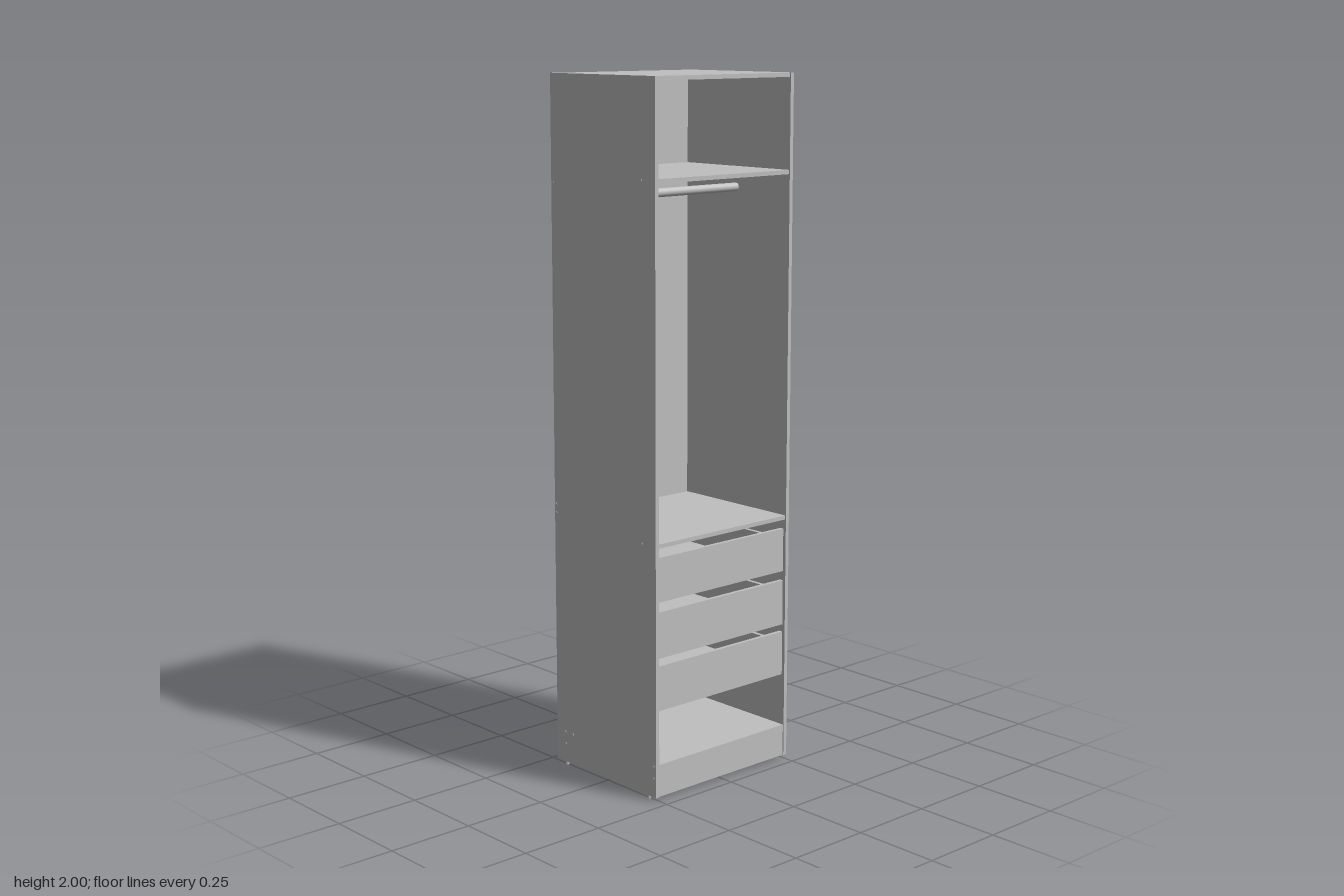
import * as THREE from 'three';

export function createModel() {
  const group = new THREE.Group();
  group.name = 'wardrobe';
  const grey = new THREE.MeshStandardMaterial({ color: 0xbfbfbf });
  grey.name = 'board grey';

  // Box given by its min and max on each axis
  const box = (name, [x0, x1], [y0, y1], [z0, z1], parent = group) => {
    const m = new THREE.Mesh(new THREE.BoxGeometry(x1 - x0, y1 - y0, z1 - z0), grey);
    m.position.set((x0 + x1) / 2, (y0 + y1) / 2, (z0 + z1) / 2);
    m.name = name;
    parent.add(m);
    return m;
  };
  // Cylinder lying along the x, y or z axis
  const rod = (name, axis, r, length, x, y, z, sides = 12) => {
    const g = new THREE.CylinderGeometry(r, r, length, sides);
    if (axis === 'x') g.rotateZ(Math.PI / 2);
    if (axis === 'z') g.rotateX(Math.PI / 2);
    const m = new THREE.Mesh(g, grey);
    m.position.set(x, y, z);
    m.name = name;
    group.add(m);
  };

  const IN = 0.247, OUT = 0.259, BACK = -0.203;
  const wide = [-IN, IN], deep = [BACK, 0.213];

  // Side panels, feet, side screw caps and back panel clips
  for (const s of [-1, 1]) {
    box('sidePanel', s > 0 ? [IN, OUT] : [-OUT, -IN], [0.01, 2], [-0.216, 0.216]);
    for (const z of [-0.18, 0.18]) rod('foot', 'y', 0.006, 0.012, s * 0.253, 0.006, z);
    const caps = [
      [1.726, 0.16], [1.70, -0.21], [0.733, 0.16], [0.78, -0.21], [0.755, -0.21],
      [0.10, -0.145], [0.10, -0.18], [0.065, -0.18], [0.10, 0.205], [0.065, 0.205],
    ];
    for (const [y, z] of caps) rod('screwCap', 'x', 0.004, 0.003, s * OUT, y, z, 10);
    for (const y of [1.95, 1.77, 1.61, 1.22, 0.85, 0.66, 0.41, 0.14])
      rod('backClip', 'z', 0.005, 0.006, s * 0.242, y, -0.209, 10);
  }

  // Horizontal boards
  box('topPanel', wide, [1.988, 2], deep);
  box('upperShelf', wide, [1.72, 1.732], deep);
  box('middleShelf', wide, [0.727, 0.739], deep);
  box('bottomShelf', wide, [0.092, 0.104], [BACK, 0.201]);
  box('frontPlinth', wide, [0.01, 0.104], [0.201, 0.213]);
  box('rearPlinth', wide, [0.01, 0.092], [-0.203, -0.191]);

  // Back panel, its centre joint and the cross rails behind it
  box('backPanel', wide, [0.08, 1.997], [-0.206, BACK]);
  for (const [y0, y1] of [[0.08, 0.715], [0.80, 1.65], [1.732, 1.99]])
    box('backJoint', [-0.004, 0.004], [y0, y1], [-0.208, -0.206]);
  box('backRail', wide, [1.65, 1.73], [-0.216, -0.206]);
  box('backRail', wide, [0.715, 0.80], [-0.216, -0.206]);

  // Hanging rail under the upper shelf
  rod('hangingRail', 'x', 0.0125, 2 * IN, 0, 1.672, 0, 20);

  // Open-topped drawers with runners
  for (const [y0, y1] of [[0.26, 0.39], [0.412, 0.545], [0.573, 0.70]]) {
    const drawer = new THREE.Group();
    drawer.name = 'drawer';
    group.add(drawer);
    const top = y1 - 0.025;
    box('drawerFront', [-0.243, 0.243], [y0, y1], [0.198, 0.21], drawer);
    box('drawerBottom', [-0.226, 0.226], [y0 + 0.015, y0 + 0.019], [-0.17, 0.198], drawer);
    box('drawerBack', [-0.226, 0.226], [y0 + 0.015, top], [-0.182, -0.17], drawer);
    for (const s of [-1, 1]) {
      box('drawerSide', s > 0 ? [0.226, 0.238] : [-0.238, -0.226], [y0 + 0.01, top], [-0.182, 0.198], drawer);
      box('drawerRunner', s > 0 ? [0.238, IN] : [-IN, -0.238], [y0 + 0.045, y0 + 0.065], [-0.18, 0.195], drawer);
    }
  }
  return group;
}
